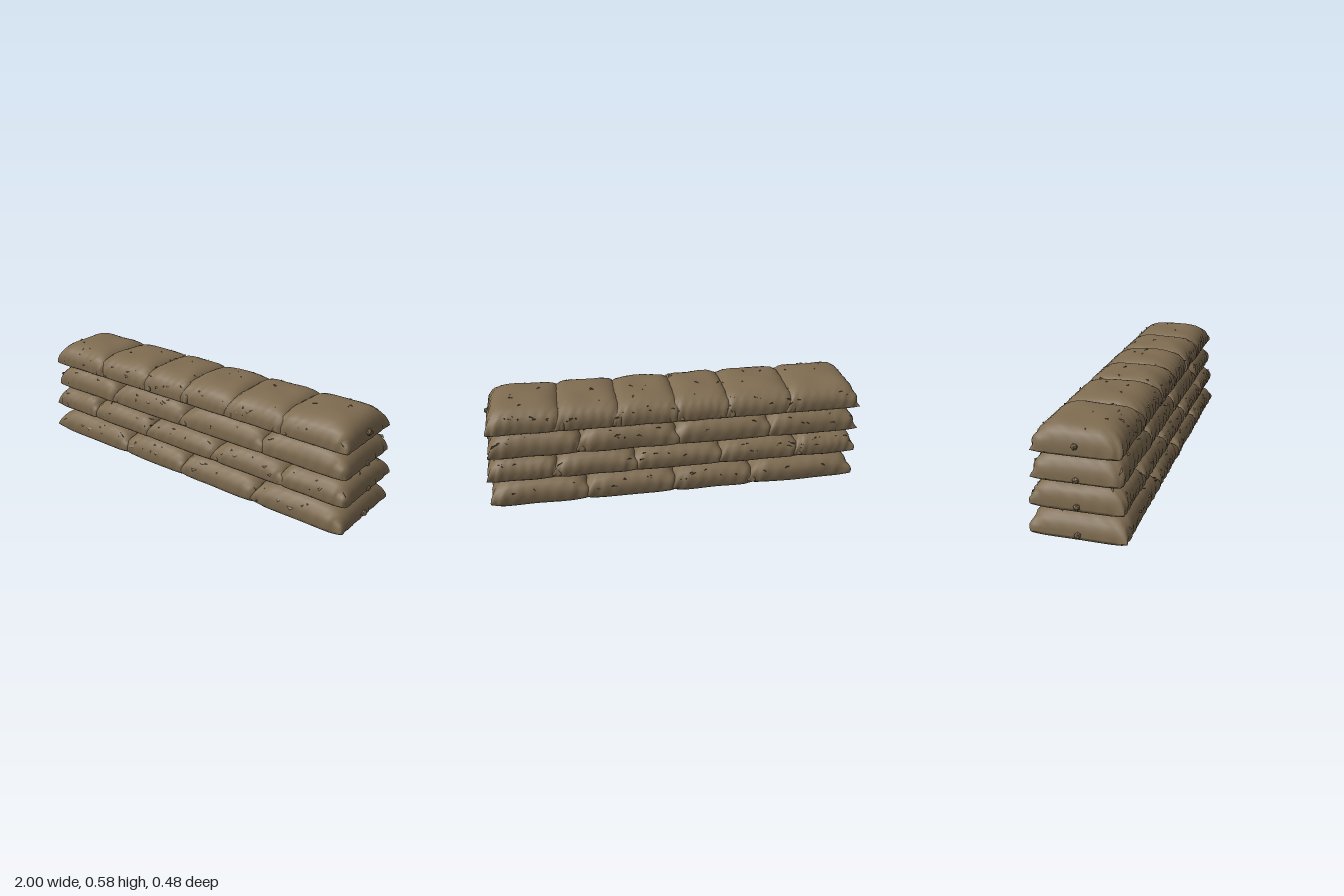
import * as THREE from 'three';
import { mergeGeometries } from 'three/addons/utils/BufferGeometryUtils.js';

// Each course: bag boundaries along x, bottom, seam and top heights, half depth, overlap, wall squareness
const ROWS = [
  { ends: [-0.98, -0.41, 0.01, 0.48, 0.98], bottom: 0.01, seam: 0.055, top: 0.17, depth: 0.227, lap: 0.018, square: 6 },
  { ends: [-0.98, -0.66, -0.24, 0.22, 0.63, 0.985], bottom: 0.162, seam: 0.195, top: 0.304, depth: 0.218, lap: 0.018, square: 6 },
  { ends: [-0.98, -0.5, 0, 0.5, 0.97], bottom: 0.296, seam: 0.325, top: 0.448, depth: 0.207, lap: 0.018, square: 6 },
  { ends: [-0.985, -0.61, -0.27, 0, 0.3, 0.6, 0.965], bottom: 0.428, seam: 0.455, top: 0.58, depth: 0.203, lap: 0.035, square: 4 },
];

function seeded(seed) {
  let s = seed * 7919 + 17;
  return () => {
    s = (s * 16807) % 2147483647;
    return s / 2147483647;
  };
}

// Point on a stuffed bag; u and v run from -1 to 1, up is 1 for the upper sheet and -1 for the lower
function bagSurface(bag, u, v, up) {
  const { x, halfX, row, seed } = bag;
  const fill = Math.sqrt(Math.max(0, 1 - Math.abs(u) ** 5)) *
    Math.max(0, 1 - Math.abs(v) ** row.square) ** 0.47;
  const lump = 0.004 * Math.sin(5 * u + seed) * Math.sin(4 * v + seed * 2.3);
  const ruffle = 0.006 * Math.sin(23 * u + 17 * v + seed * 1.7) * (1 - fill);
  const bulge = 1 + 0.05 * Math.sin(Math.PI * fill) * (up > 0 ? 1 : 0.2);
  const height = up > 0 ? row.top - row.seam : row.seam - row.bottom;
  // seam edges curve slightly inward between the corners
  const pinchX = 1 - 0.012 * (1 - v * v);
  const pinchZ = 1 - 0.02 * (1 - u * u);
  return new THREE.Vector3(
    x + u * halfX * pinchX + ruffle * u,
    row.seam + up * height * fill + lump * fill * (up > 0 ? 1 : 0.2) + ruffle * 0.6,
    v * row.depth * pinchZ * bulge + ruffle * v + lump * 0.6
  );
}

// One sheet of cloth, with points crowded towards the seam
function sheet(bag, up) {
  const geo = new THREE.PlaneGeometry(2, 2, 24, 18);
  geo.rotateX(-up * Math.PI / 2);
  const p = geo.attributes.position;
  for (let i = 0; i < p.count; i++) {
    const u = Math.sin(p.getX(i) * Math.PI / 2);
    const v = Math.sin(p.getZ(i) * Math.PI / 2);
    const q = bagSurface(bag, u, v, up);
    p.setXYZ(i, q.x, q.y, q.z);
  }
  geo.computeVertexNormals();
  return geo;
}

// Small torn folds lifting off the cloth
function folds(bag, count) {
  const rnd = seeded(bag.seed);
  const pts = [];
  const centre = new THREE.Vector3(bag.x, bag.row.seam, 0);
  for (let i = 0; i < count; i++) {
    const side = rnd() < 0.65 ? Math.sign(rnd() - 0.5) : 0;
    const u = (rnd() * 2 - 1) * 0.85;
    const v = side ? side * (0.86 + rnd() * 0.12) : (rnd() * 2 - 1) * 0.8;
    const du = (rnd() - 0.5) * 0.3;
    const dv = (rnd() - 0.5) * (side ? 0.05 : 0.25);
    const at = (a, b, lift) => bagSurface(bag,
      THREE.MathUtils.clamp(a, -0.99, 0.99), THREE.MathUtils.clamp(b, -0.99, 0.99), 1)
      .sub(centre).multiplyScalar(lift).add(centre);
    const a = at(u, v, 1.0);
    const b = at(u + du, v + dv, 1.01);
    const c = at(u + du * 0.5 + 0.02, v + dv * 0.5 + 0.015, 1.045);
    pts.push(a, b, c);
  }
  const geo = new THREE.BufferGeometry().setFromPoints(pts);
  geo.computeVertexNormals();
  return geo;
}

export function createModel() {
  const model = new THREE.Group();
  model.name = 'sandbagWall';
  const burlap = new THREE.MeshStandardMaterial({ color: 0x7f6c51, side: THREE.DoubleSide });
  burlap.name = 'burlap brown';

  const add = (parent, geo, name) => {
    const mesh = new THREE.Mesh(geo, burlap);
    mesh.name = name;
    parent.add(mesh);
    return mesh;
  };

  let seed = 1;
  ROWS.forEach((row, r) => {
    const course = new THREE.Group();
    course.name = `course${r + 1}`;
    model.add(course);
    const last = row.ends.length - 2;

    for (let i = 0; i <= last; i++) {
      // neighbouring bags press into each other, outer ends stay free
      const x0 = row.ends[i] - (i > 0 ? row.lap : 0);
      const x1 = row.ends[i + 1] + (i < last ? row.lap : 0);
      const bag = { x: (x0 + x1) / 2, halfX: (x1 - x0) / 2, row, seed: seed++ };
      add(course, mergeGeometries([sheet(bag, 1), sheet(bag, -1)]), 'bag');
      add(course, folds(bag, 16), 'clothFolds');
    }

    // Tied knots at both free ends
    for (const end of [row.ends[0], row.ends[last + 1]]) {
      const knot = add(course, new THREE.IcosahedronGeometry(0.017, 0), 'knot');
      knot.position.set(end - Math.sign(end) * 0.003, row.seam + (r === 3 ? 0.037 : 0.008), 0);
      knot.rotation.set(r, 0.4, 0.3);
    }
  });
  return model;
}
